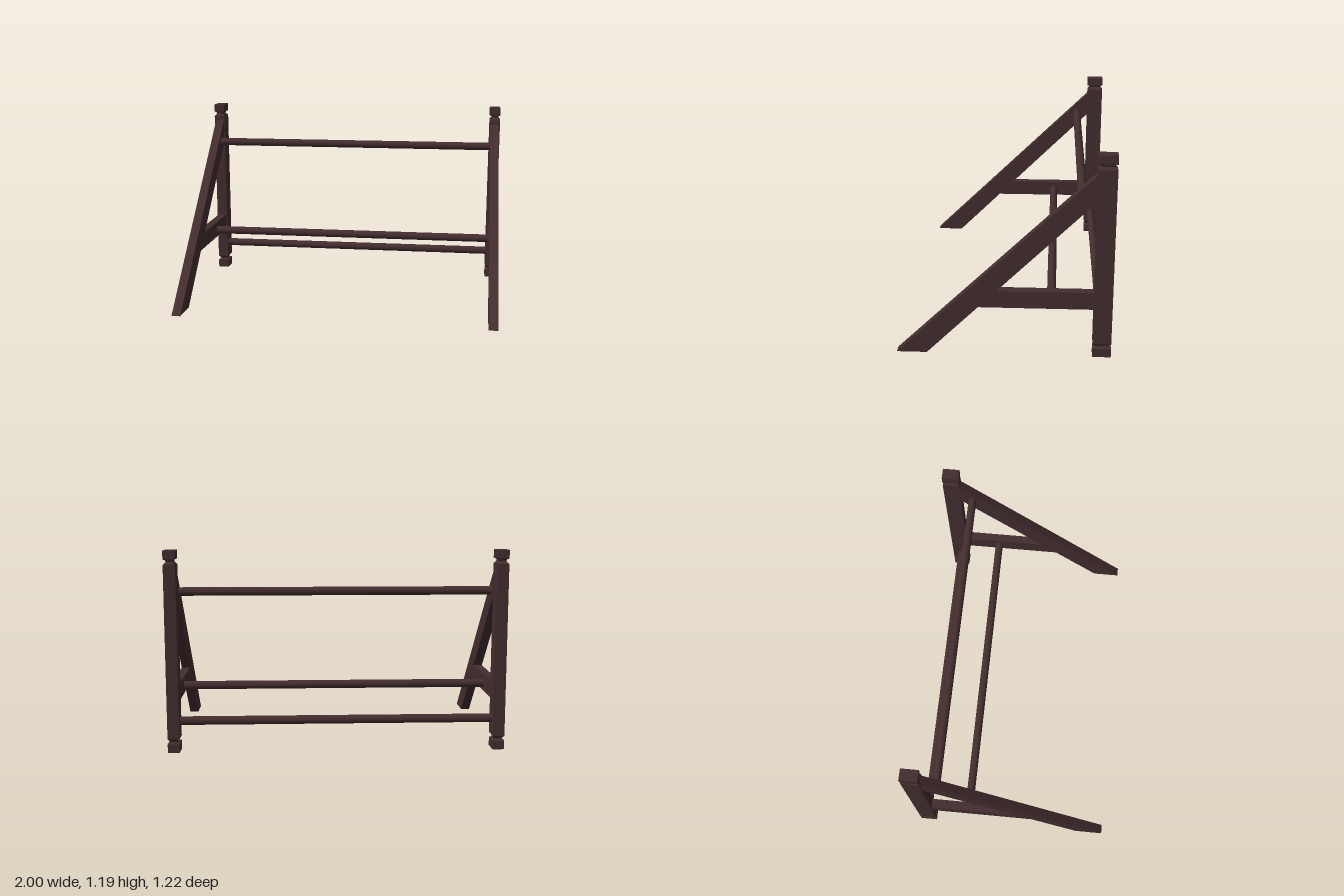
import * as THREE from 'three';

const wood = new THREE.MeshStandardMaterial({ color: 0x432d2f });
wood.name = 'dark wood';

const POST_X = 0.965, POST_Z = -0.558;

// Square post lofted through [height, inset] sections
function postGeometry(halfW, halfD, sections) {
  const pos = [];
  const ring = ([y, inset]) => {
    const w = halfW - inset, d = halfD - inset;
    return [[-w, y, d], [w, y, d], [w, y, -d], [-w, y, -d]];
  };
  const quad = (a, b, c, d) => pos.push(...a, ...b, ...c, ...a, ...c, ...d);
  const rings = sections.map(ring);
  for (let i = 0; i < rings.length - 1; i++) {
    for (let k = 0; k < 4; k++) {
      const n = (k + 1) % 4;
      quad(rings[i][k], rings[i][n], rings[i + 1][n], rings[i + 1][k]);
    }
  }
  quad(...rings[rings.length - 1]);
  quad(...rings[0].slice().reverse());
  const g = new THREE.BufferGeometry();
  g.setAttribute('position', new THREE.Float32BufferAttribute(pos, 3));
  g.computeVertexNormals();
  return g;
}

// Flat board drawn as a [z, y] outline, with its thickness along x
function boardGeometry(points, thickness) {
  const shape = new THREE.Shape(points.map(([z, y]) => new THREE.Vector2(-z, y)));
  const g = new THREE.ExtrudeGeometry(shape, { depth: thickness, bevelEnabled: false });
  g.translate(0, 0, -thickness / 2);
  g.rotateY(Math.PI / 2);
  return g;
}

export function createModel() {
  const model = new THREE.Group();
  model.name = 'rackFrame';

  const add = (parent, name, geometry, x, y, z) => {
    const mesh = new THREE.Mesh(geometry, wood);
    mesh.name = name;
    mesh.position.set(x, y, z);
    parent.add(mesh);
  };

  // Post with a carved groove near the foot and under the cap
  const post = postGeometry(0.035, 0.0525, [
    [0, 0], [0.052, 0], [0.056, 0.012], [0.066, 0.015], [0.072, 0.009], [0.082, 0],
    [1.108, 0], [1.118, 0.009], [1.124, 0.015], [1.134, 0.012], [1.14, 0], [1.19, 0],
  ]);

  // Sloping brace from the floor to the top of the post
  const brace = boardGeometry(
    [[0.61, 0], [0.437, 0], [-0.515, 0.935], [-0.515, 1.085]], 0.056);

  // Horizontal strut, cut to meet the brace
  const strut = boardGeometry(
    [[0.145, 0.291], [0.04, 0.393], [-0.515, 0.393], [-0.515, 0.291]], 0.054);

  for (const [side, name] of [[1, 'leftEnd'], [-1, 'rightEnd']]) {
    const end = new THREE.Group();
    end.name = name;
    add(end, 'post', post, side * POST_X, 0, POST_Z);
    add(end, 'slopingBrace', brace, side * 0.963, 0, 0);
    add(end, 'strut', strut, side * 0.963, 0, 0);
    model.add(end);
  }

  // Round rails joining the two ends
  const rail = new THREE.CylinderGeometry(0.0255, 0.0255, 1.89, 24);
  rail.rotateZ(Math.PI / 2);
  add(model, 'topRail', rail, 0, 0.938, -0.43);
  add(model, 'middleRail', rail, 0, 0.337, -0.27);
  add(model, 'bottomRail', rail, 0, 0.18, -0.55);

  return model;
}
